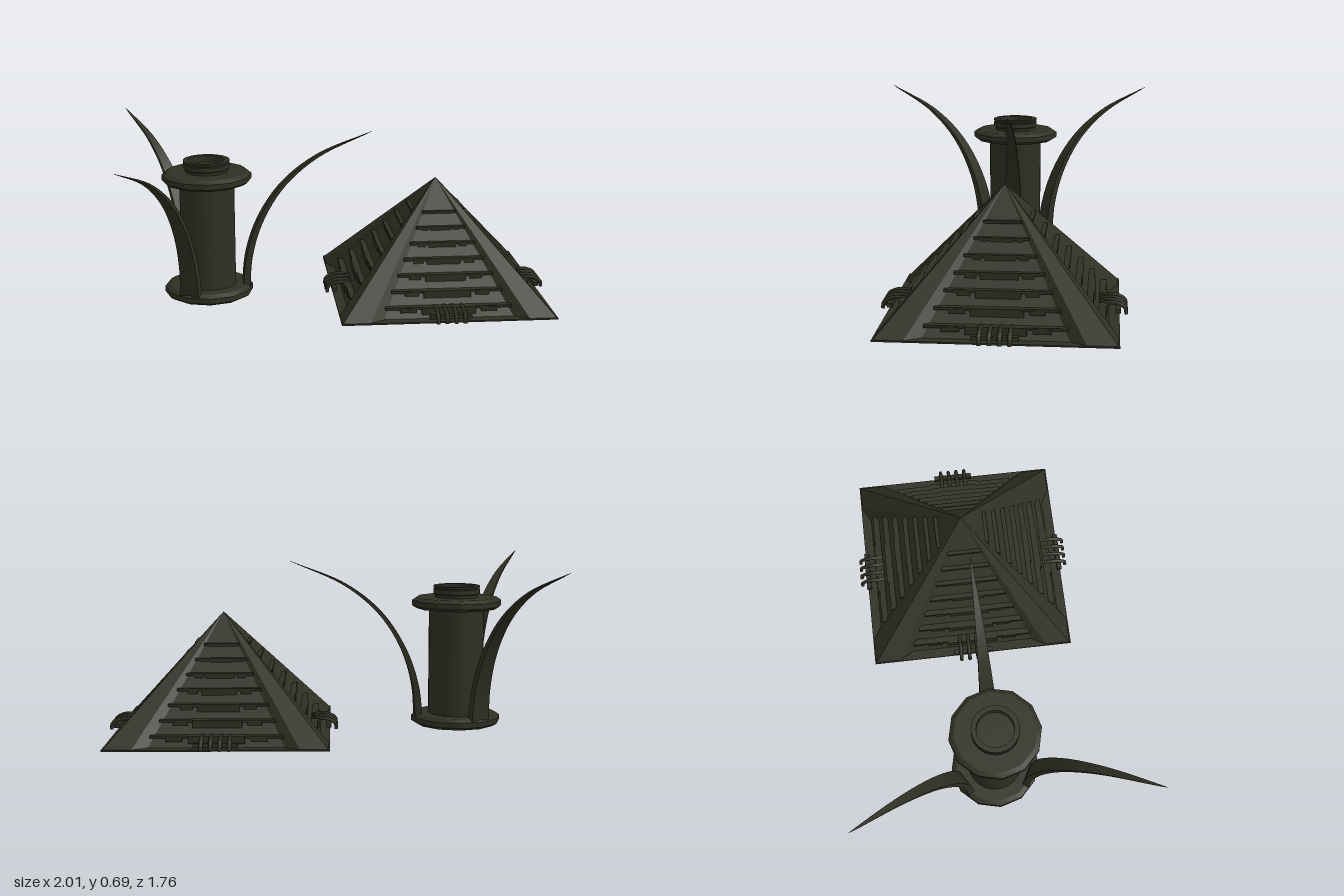
import * as THREE from 'three';
import { toCreasedNormals } from 'three/addons/utils/BufferGeometryUtils.js';

const darkOlive = new THREE.MeshStandardMaterial({ color: 0x2f2f23 });
darkOlive.name = 'dark olive stone';

function add(parent, name, geometry, x = 0, y = 0, z = 0) {
  const mesh = new THREE.Mesh(geometry, darkOlive);
  mesh.name = name;
  mesh.position.set(x, y, z);
  parent.add(mesh);
  return mesh;
}

function group(parent, name) {
  const g = new THREE.Group();
  g.name = name;
  parent.add(g);
  return g;
}

function build(positions, index) {
  const g = new THREE.BufferGeometry();
  g.setAttribute('position', new THREE.Float32BufferAttribute(positions, 3));
  g.setIndex(index);
  return toCreasedNormals(g, 0.4);
}

function lathe(profile, sides) {
  const points = profile.map(([r, y]) => new THREE.Vector2(r, y));
  return toCreasedNormals(new THREE.LatheGeometry(points, sides), 0.35);
}

// Faceted solid rising from a flat outline to a single apex
function spire(outline, height) {
  const positions = outline.flatMap(([x, z]) => [x, 0, z]).concat([0, height, 0]);
  const n = outline.length;
  return build(positions, outline.flatMap((_, i) => [(i + 1) % n, i, n]));
}

// Curved blade: rectangular sections shrinking along an arc
function bladeGeometry() {
  const arc = new THREE.CatmullRomCurve3([
    [0.155, 0.03], [0.168, 0.17], [0.215, 0.32], [0.31, 0.47], [0.455, 0.59], [0.685, 0.69],
  ].map(([r, y]) => new THREE.Vector3(0, y, r)));
  const steps = 28, positions = [], index = [];
  for (let i = 0; i <= steps; i++) {
    const t = i / steps, p = arc.getPointAt(t), d = arc.getTangentAt(t);
    const w = 0.043 * Math.pow(1 - t, 0.8) + 0.0005;
    const k = 0.015 * (1 - t) + 0.0005;
    for (const [sx, sn] of [[-1, 1], [1, 1], [1, -1], [-1, -1]]) {
      positions.push(sx * w, p.y - sn * k * d.z, p.z + sn * k * d.y);
    }
    if (i === steps) break;
    for (let c = 0; c < 4; c++) {
      const a = i * 4 + c, b = i * 4 + (c + 1) % 4;
      index.push(a, b, b + 4, a, b + 4, a + 4);
    }
  }
  return build(positions, index);
}

function buildTower(parent) {
  const tower = group(parent, 'tower');
  tower.position.set(-0.42, 0, 0.19);
  const rim = (y) => lathe([[0, y], [0.165, y], [0.184, y + 0.012], [0.184, y + 0.033],
    [0.165, y + 0.046], [0, y + 0.046]], 12);
  add(tower, 'foot disc', rim(0.014));
  add(tower, 'column', new THREE.CylinderGeometry(0.113, 0.113, 0.46, 32, 1, true), 0, 0.28, 0);
  add(tower, 'upper disc', rim(0.495));
  // Hollow cap with a groove below its lip
  add(tower, 'cap', lathe([[0.088, 0.53], [0.088, 0.552], [0.095, 0.556], [0.095, 0.574],
    [0.09, 0.577], [0.095, 0.58], [0.095, 0.588], [0.074, 0.588], [0.074, 0.56], [0, 0.56]], 32));
  const blade = bladeGeometry();
  for (let i = 0; i < 3; i++) {
    add(tower, 'curved blade', blade).rotation.y = i * Math.PI * 2 / 3;
  }
}

function buildPyramid(parent) {
  const H = 0.485, h = 0.435, w = 0.11, s = 0.06, d = 0.035;
  const pyramid = group(parent, 'pyramid');
  pyramid.position.set(0.405, 0, -0.293);
  pyramid.rotation.y = THREE.MathUtils.degToRad(28.4);
  add(pyramid, 'base plate', new THREE.BoxGeometry(2 * h, 0.006, 2 * h), 0, 0.003, 0);
  const q = h - d;
  add(pyramid, 'recessed core', spire([[q, q], [-q, q], [-q, -q], [q, -q]], H));

  const rib = spire([[h, h], [h - w, h], [h - w - s, q], [q, h - w - s], [h, h - w]], H);
  const arch = new THREE.TubeGeometry(new THREE.CatmullRomCurve3([
    new THREE.Vector3(0, 0.006, h + 0.025), new THREE.Vector3(0, 0.032, h + 0.02),
    new THREE.Vector3(0, 0.05, h - 0.02), new THREE.Vector3(0, 0.045, h - 0.08),
  ]), 12, 0.008, 6);

  for (let i = 0; i < 4; i++) {
    const side = group(pyramid, 'pyramid side');
    side.rotation.y = i * Math.PI / 2;
    add(side, 'corner rib', rib);
    // Ledges and stacked stair blocks shrink towards the apex
    for (let n = 0; n < 7; n++) {
      const y = 0.045 + n * 0.053, t = 1 - y / H, z = q * t;
      add(side, 'ledge', new THREE.BoxGeometry(2 * (h - w - s * 0.7) * t, 0.01, 0.03 * t + 0.015),
        0, y, z);
      add(side, 'stair block', new THREE.BoxGeometry(0.24 * t, 0.03, 0.07 * t + 0.01),
        0, y - 0.01, z - 0.008);
      for (const m of [-1, 1]) {
        add(side, 'flanking block', new THREE.BoxGeometry(0.07 * t, 0.018, 0.055 * t + 0.01),
          m * 0.18 * t, y - 0.008, z - 0.006);
      }
    }
    // Row of low pipes over the foot of the side
    for (let n = 0; n < 4; n++) add(side, 'foot pipe', arch, (n - 1.5) * 0.036, 0, 0);
    add(side, 'pipe crossbar', new THREE.BoxGeometry(0.17, 0.016, 0.02), 0, 0.025, h - 0.005);
  }
}

export function createModel() {
  const model = new THREE.Group();
  model.name = 'pyramid and bladed tower';
  buildTower(model);
  buildPyramid(model);
  return model;
}
